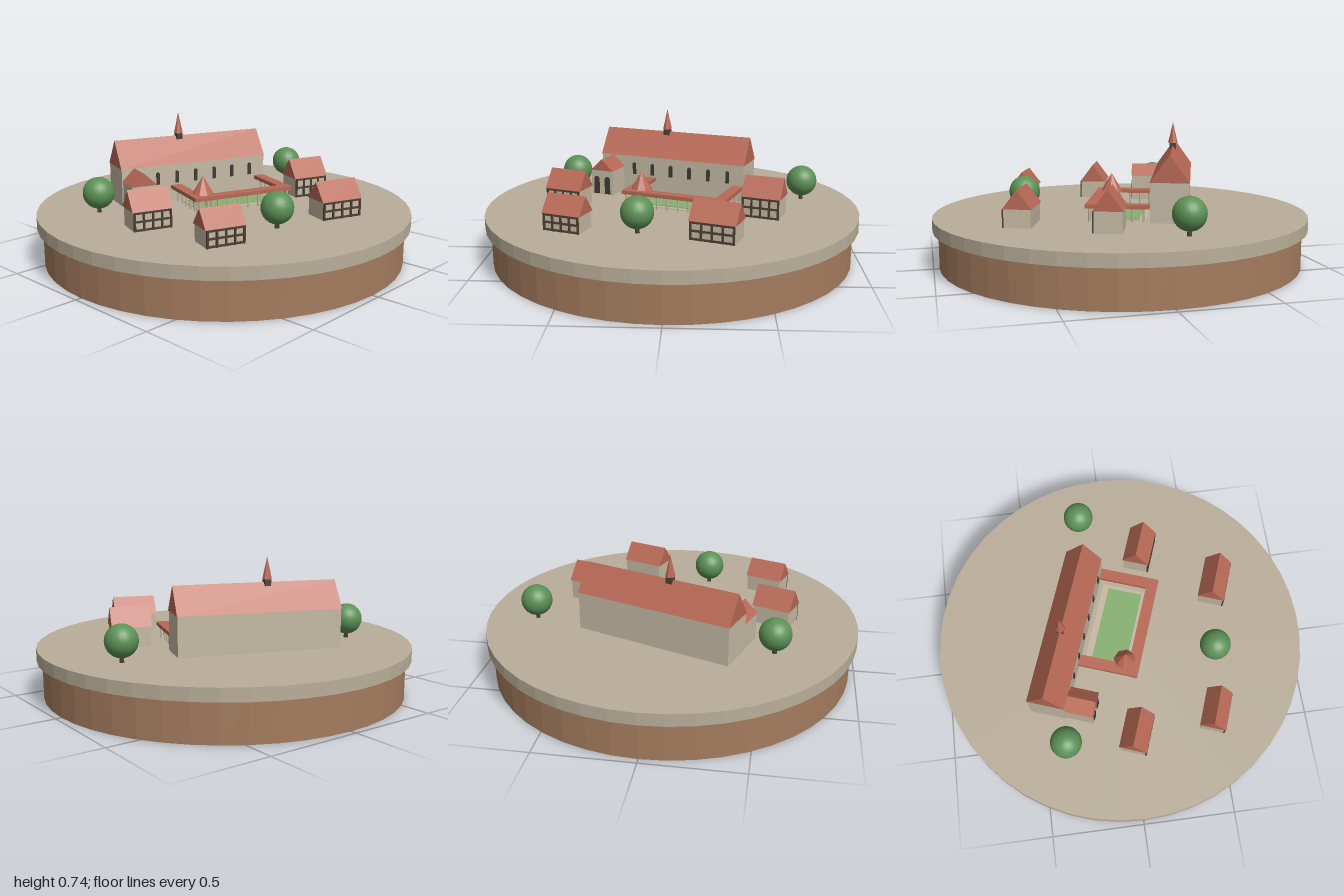
import * as THREE from 'three';

const mat = (name, color, extra = {}) => {
  const m = new THREE.MeshStandardMaterial({ color, ...extra });
  m.name = name;
  return m;
};

export function createModel() {
  const M = {
    earth: mat('earth brown', 0xa47c5e, { flatShading: true }),
    ground: mat('paving', 0xb9ae99, { flatShading: true }),
    wall: mat('plaster', 0xc4b9a3),
    roof: mat('roof tile', 0xb86855, { flatShading: true }),
    timber: mat('dark timber', 0x4e3f33),
    window: mat('window dark', 0x3f3a34),
    grass: mat('lawn', 0x86b070),
    leaf: mat('foliage', 0x5c9156),
  };
  const G = 0.265;       // ground level
  const TURN = -0.349;   // village is turned on the disc
  const model = new THREE.Group();
  model.name = 'monasteryVillage';

  const add = (parent, name, geo, material, x = 0, y = 0, z = 0) => {
    const mesh = new THREE.Mesh(geo, material);
    mesh.name = name;
    mesh.position.set(x, y, z);
    parent.add(mesh);
    return mesh;
  };
  const box = (parent, name, w, h, d, material, x, y, z) =>
    add(parent, name, new THREE.BoxGeometry(w, h, d), material, x, y, z);
  const group = (parent, name, x = 0, y = 0, z = 0, turn = 0) => {
    const g = new THREE.Group();
    g.name = name;
    g.position.set(x, y, z);
    g.rotation.y = turn;
    parent.add(g);
    return g;
  };

  // Walls plus solid gable roof, ridge along local x; l and w are the roof footprint
  const gabled = (parent, l, w, wallH, roofH, over) => {
    box(parent, 'walls', l - 2 * over, wallH, w - 2 * over, M.wall, 0, wallH / 2, 0);
    const tri = new THREE.Shape([
      new THREE.Vector2(-w / 2, 0), new THREE.Vector2(w / 2, 0), new THREE.Vector2(0, roofH),
    ]);
    const geo = new THREE.ExtrudeGeometry(tri, { depth: l, bevelEnabled: false });
    geo.translate(0, 0, -l / 2).rotateY(Math.PI / 2);
    add(parent, 'roof', geo, M.roof, 0, wallH, 0);
  };

  // Thin round-headed opening, standing on y = 0 and facing +z
  const archGeometry = (w, h) => {
    const s = new THREE.Shape();
    s.moveTo(-w / 2, 0);
    s.lineTo(w / 2, 0);
    s.lineTo(w / 2, h - w / 2);
    s.absarc(0, h - w / 2, w / 2, 0, Math.PI, false);
    s.closePath();
    return new THREE.ExtrudeGeometry(s, { depth: 0.006, bevelEnabled: false, curveSegments: 6 });
  };

  // Base disc
  add(model, 'base', new THREE.CylinderGeometry(0.97, 0.97, 0.2, 48), M.earth, 0, 0.1, 0);
  add(model, 'groundDisc', new THREE.CylinderGeometry(1, 1, 0.065, 48), M.ground, 0, 0.2325, 0);

  const abbey = group(model, 'abbey', 0, G, 0, TURN);

  // Church with a row of arched windows
  const church = group(abbey, 'church', -0.085, 0, -0.28);
  gabled(church, 0.87, 0.2, 0.205, 0.14, 0.003);
  const windowGeo = archGeometry(0.02, 0.068);
  for (let i = -3; i <= 3; i++) add(church, 'churchWindow', windowGeo, M.window, i * 0.113, 0.1, 0.096);

  // Ridge turret
  const turret = group(church, 'ridgeTurret', -0.06, 0.335, 0);
  box(turret, 'turretBody', 0.034, 0.04, 0.034, M.timber, 0, 0.01, 0);
  add(turret, 'turretSpire', new THREE.ConeGeometry(0.026, 0.115, 8), M.roof, 0, 0.0825, 0);

  // Side wing, gable end to the front
  const wing = group(abbey, 'sideWing', -0.445, 0, -0.14, Math.PI / 2);
  gabled(wing, 0.22, 0.14, 0.14, 0.065, 0.004);
  const doorGeo = archGeometry(0.032, 0.1);
  for (const x of [-0.478, -0.412]) add(abbey, 'wingArch', doorGeo, M.window, x, 0.005, -0.035);

  // Cloister: court, lawn, roofed walk on columns
  const cloister = group(abbey, 'cloister');
  const [x0, x1, z0, z1, walk] = [-0.235, 0.345, -0.18, 0.145, 0.06];
  const midX = (x0 + x1) / 2, midZ = (z0 + z1) / 2;
  box(cloister, 'court', 0.47, 0.004, 0.25, M.wall, midX, 0.002, -0.035);
  box(cloister, 'lawn', 0.43, 0.008, 0.19, M.grass, midX, 0.004, -0.03);
  box(cloister, 'walkRoofFront', x1 - x0, 0.02, walk, M.roof, midX, 0.08, z1 - walk / 2);
  for (const x of [x0 + walk / 2, x1 - walk / 2])
    box(cloister, 'walkRoofSide', walk, 0.02, z1 - z0 - walk, M.roof, x, 0.08, midZ - walk / 2);
  const columnGeo = new THREE.CylinderGeometry(0.006, 0.006, 0.07, 8);
  for (let i = 0; i < 10; i++) {
    const x = x0 + 0.02 + i * (x1 - x0 - 0.04) / 9;
    add(cloister, 'column', columnGeo, M.wall, x, 0.035, z1 - 0.02);
  }
  for (let i = 0; i < 5; i++) {
    const z = z1 - 0.075 - i * 0.055;
    for (const x of [x0 + 0.03, x1 - 0.03]) add(cloister, 'column', columnGeo, M.wall, x, 0.035, z);
  }

  // Well house in the cloister corner
  const well = group(cloister, 'wellHouse', -0.154, 0, 0.062);
  add(well, 'wellRoof', new THREE.ConeGeometry(0.063, 0.105, 8), M.roof, 0, 0.1325, 0);
  for (let i = 0; i < 8; i++) {
    const a = (i / 8) * Math.PI * 2;
    add(well, 'wellColumn', columnGeo, M.wall, Math.sin(a) * 0.05, 0.04, Math.cos(a) * 0.05);
  }

  // Timber-framed houses: x, z, length, width, wall height, roof height
  const houses = [
    [-0.56, 0.015, 0.21, 0.147, 0.097, 0.098],
    [-0.497, 0.447, 0.21, 0.137, 0.087, 0.088],
    [0.238, 0.565, 0.238, 0.147, 0.093, 0.095],
    [0.487, 0.174, 0.21, 0.147, 0.107, 0.1],
  ];
  for (const [x, z, l, w, wallH, roofH] of houses) {
    const house = group(model, 'house', x, G, z, TURN);
    gabled(house, l, w, wallH, roofH, 0.006);
    const span = l - 0.022, face = w / 2 - 0.003;
    for (let i = 0; i < 5; i++)
      box(house, 'post', 0.01, wallH, 0.009, M.timber, -span / 2 + (i * span) / 4, wallH / 2, face);
    for (const y of [0.006, wallH / 2, wallH - 0.006])
      box(house, 'rail', span, 0.01, 0.008, M.timber, 0, y, face);
  }

  // Round trees
  const crownGeo = new THREE.SphereGeometry(0.083, 24, 16);
  const trunkGeo = new THREE.CylinderGeometry(0.01, 0.012, 0.05, 8);
  for (const [x, z] of [[-0.573, -0.358], [0.716, -0.147], [-0.147, 0.5]]) {
    const tree = group(model, 'tree', x, G, z);
    add(tree, 'trunk', trunkGeo, M.timber, 0, 0.025, 0);
    add(tree, 'crown', crownGeo, M.leaf, 0, 0.105, 0);
  }
  return model;
}
